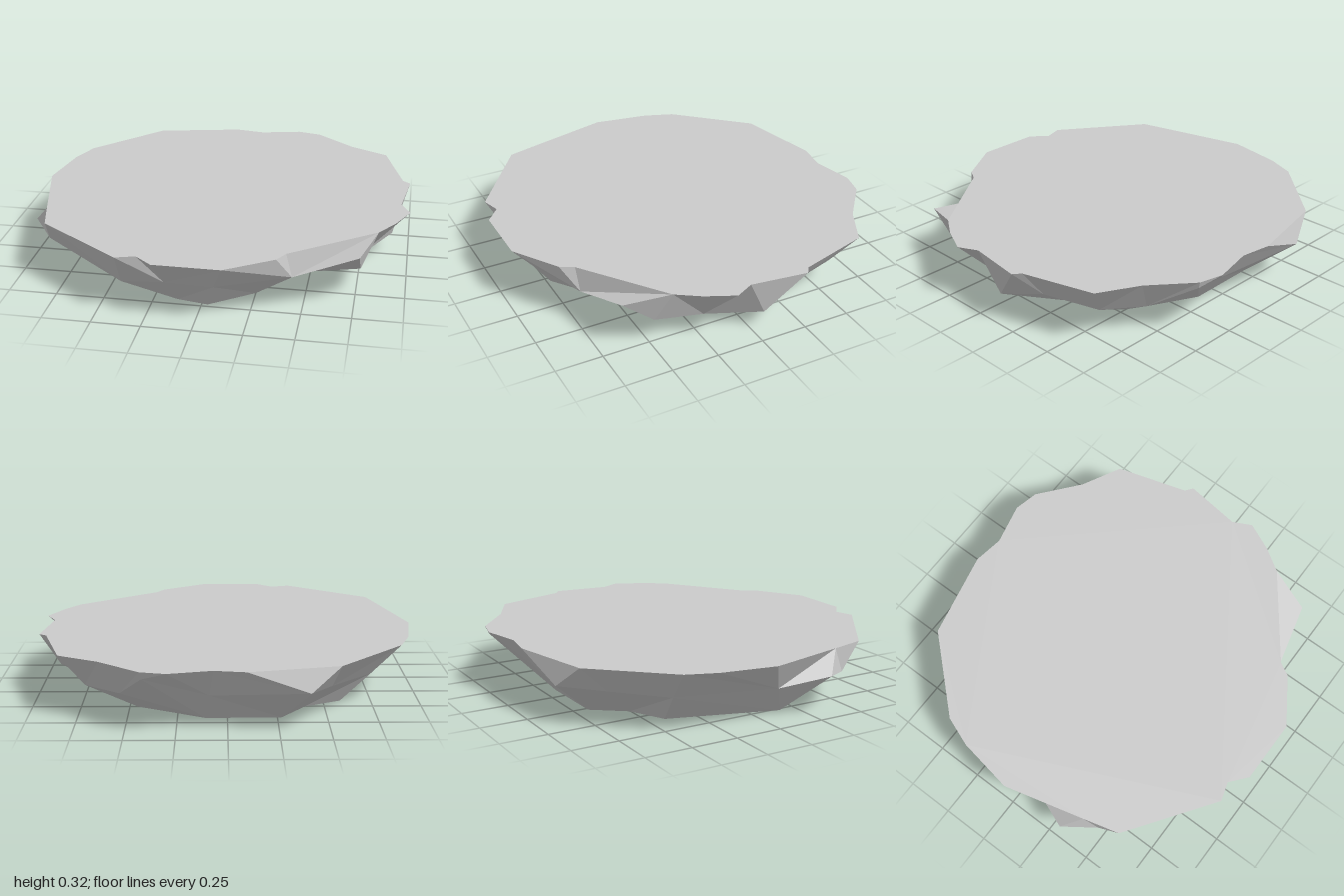
import * as THREE from 'three';

const HEIGHT = 0.32;

// Outlines run from +x towards +z around the slab.
const topRim = [
  [0.95, 0.05], [1, 0.15], [0.93, 0.3], [0.85, 0.42], [0.42, 0.74], [0.38, 0.81],
  [0.14, 0.965], [-0.2, 0.965], [-0.29, 0.89], [-0.39, 0.92], [-0.84, 0.6], [-0.89, 0.41],
  [-1, -0.02], [-0.95, -0.32], [-0.89, -0.48], [-0.55, -0.85], [-0.09, -0.95],
  [0.07, -0.925], [0.29, -0.975], [0.42, -0.945], [0.63, -0.77], [0.84, -0.66],
  [0.95, -0.28], [0.99, -0.25],
].map(([x, z]) => [x, HEIGHT, z]);

// Chipped break points between the rims, as x, y, z
const chips = [
  [0.74, 0.06, 0.19], [0.77, 0.14, 0.48], [0.77, 0.28, 0.65], [0.45, 0.19, 0.73],
  [0.08, 0.16, 0.84], [-0.17, 0.16, 0.83], [-0.4, 0.12, 0.78], [-0.86, 0.18, 0.48],
  [-0.98, 0.21, 0.32], [-0.88, 0.16, 0.07], [-0.74, 0.16, -0.45], [-0.52, 0.17, -0.69],
  [-0.4, 0.2, -0.91], [0.09, 0.16, -0.81], [0.41, 0.28, -0.93], [0.535, 0.14, -0.71],
  [0.72, 0.14, -0.57], [0.82, 0.15, -0.28], [0.91, 0.1, -0.06],
];

const bottomRim = [
  [0.61, 0.17], [0.475, 0.29], [0.385, 0.31], [0.25, 0.57], [0.03, 0.73], [-0.13, 0.7],
  [-0.36, 0.56], [-0.44, 0.35], [-0.635, 0.31], [-0.77, 0.16], [-0.59, -0.41],
  [-0.4, -0.505], [-0.27, -0.675], [0.11, -0.68], [0.46, -0.5], [0.51, -0.31], [0.62, -0.21],
].map(([x, z]) => [x, 0, z]);

// Angle of a ring's i-th corner, counting on past a full turn
function angleAt(ring, i) {
  const [x, , z] = ring[i % ring.length];
  const a = Math.atan2(z, x);
  return (a < 0 ? a + Math.PI * 2 : a) + Math.floor(i / ring.length) * Math.PI * 2;
}

// Zigzag band of triangles between two rings with different corner counts
function stitch(upper, lower) {
  const out = [];
  let i = 0, j = 0;
  while (i < upper.length || j < lower.length) {
    const a = upper[i % upper.length], b = lower[j % lower.length];
    const stepUpper = j >= lower.length ||
      (i < upper.length && angleAt(upper, i + 1) <= angleAt(lower, j + 1));
    if (stepUpper) out.push(...a, ...upper[++i % upper.length], ...b);
    else out.push(...a, ...lower[++j % lower.length], ...b);
  }
  return out;
}

// Flat face filling a rim; side is 1 for facing up, -1 for facing down
function cap(rim, side) {
  const shape = new THREE.Shape(rim.map(([x, , z]) => new THREE.Vector2(x, -side * z)));
  return new THREE.ShapeGeometry(shape)
    .rotateX(-side * Math.PI / 2)
    .translate(0, rim[0][1], 0);
}

export function createModel() {
  const group = new THREE.Group();
  group.name = 'stoneSlab';
  const material = new THREE.MeshStandardMaterial({
    color: 0xcccccc, flatShading: true, side: THREE.DoubleSide,
  });
  const add = (name, geometry) => {
    const mesh = new THREE.Mesh(geometry, material);
    mesh.name = name;
    group.add(mesh);
  };

  // Faceted sloping sides
  const sides = new THREE.BufferGeometry();
  sides.setAttribute('position', new THREE.Float32BufferAttribute(
    [...stitch(topRim, chips), ...stitch(chips, bottomRim)], 3));
  sides.computeVertexNormals();
  add('chippedSides', sides);

  // Level top and underside
  add('topFace', cap(topRim, 1));
  add('underside', cap(bottomRim, -1));
  return group;
}
